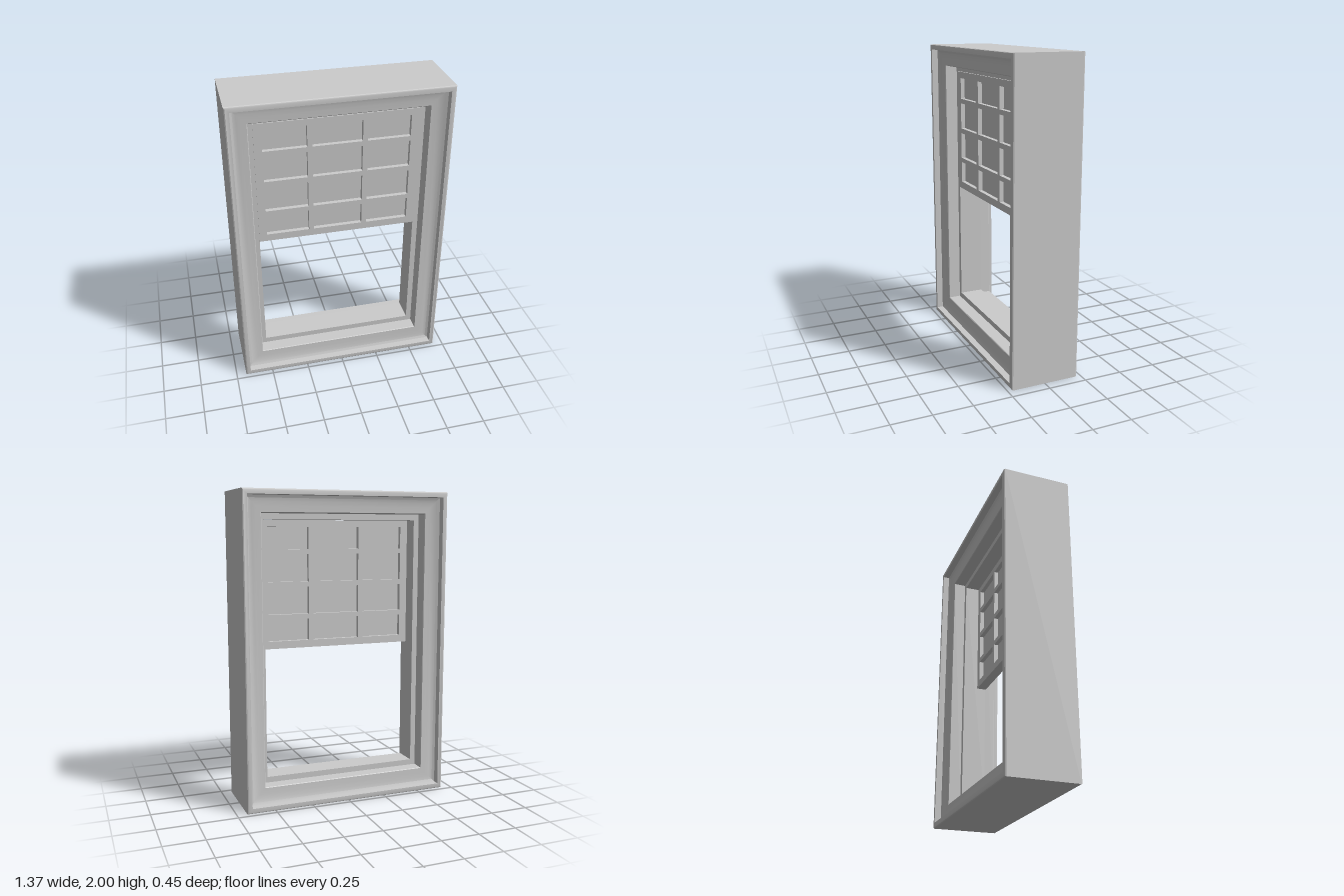
import * as THREE from 'three';
import { toCreasedNormals } from 'three/addons/utils/BufferGeometryUtils.js';

const HALF_W = 0.685, HEIGHT = 2;

// Sweeps a closed [inset, z] profile around the rectangular outline with mitred corners.
function sweepFrame(profile) {
  const corners = [[-1, -1], [1, -1], [1, 1], [-1, 1]];
  const point = ([inset, z], k) => {
    const [sx, sy] = corners[k % 4];
    return [sx * (HALF_W - inset), HEIGHT / 2 + sy * (HEIGHT / 2 - inset * 1.05), z];
  };
  const positions = [];
  profile.forEach((p, j) => {
    const q = profile[(j + 1) % profile.length];
    for (let k = 0; k < 4; k++) {
      const a = point(p, k), b = point(p, k + 1), c = point(q, k + 1), d = point(q, k);
      positions.push(...a, ...b, ...c, ...a, ...c, ...d);
    }
  });
  const geometry = new THREE.BufferGeometry();
  geometry.setAttribute('position', new THREE.Float32BufferAttribute(positions, 3));
  return toCreasedNormals(geometry, 0.45);
}

function rectangle(target, x0, x1, y0, y1) {
  target.moveTo(x0, y0);
  target.lineTo(x1, y0);
  target.lineTo(x1, y1);
  target.lineTo(x0, y1);
  target.closePath();
  return target;
}

export function createModel() {
  const group = new THREE.Group();
  const material = new THREE.MeshStandardMaterial({ color: 0xcccccc });
  const add = (name, geometry) => {
    const mesh = new THREE.Mesh(geometry, material);
    mesh.name = name;
    group.add(mesh);
    return mesh;
  };

  // Frame: rounded outer rim, coved casing, stepped jamb; same front and back
  const frontHalf = [
    [0, 0.216], [0.003, 0.222], [0.009, 0.225],
    [0.032, 0.225], [0.034, 0.183],
    [0.05, 0.176], [0.07, 0.17], [0.095, 0.166], [0.13, 0.164],
    [0.134, 0.16], [0.135, 0.08], [0.17, 0.08],
  ];
  const backHalf = frontHalf.map(([inset, z]) => [inset, -z]).reverse();
  add('windowFrame', sweepFrame([...frontHalf, ...backHalf]));

  // Raised sash: rails and glazing bars around twelve openings
  const columns = [[-0.465, -0.19], [-0.158, 0.158], [0.19, 0.465]];
  const rows = [[1.045, 1.187], [1.218, 1.394], [1.428, 1.603], [1.635, 1.777]];
  const sash = rectangle(new THREE.Shape(), -0.515, 0.515, 0.997, 1.82);
  for (const [x0, x1] of columns) {
    for (const [y0, y1] of rows) sash.holes.push(rectangle(new THREE.Path(), x0, x1, y0, y1));
  }
  const sashGeometry = new THREE.ExtrudeGeometry(sash, { depth: 0.065, bevelEnabled: false });
  add('sash', sashGeometry).position.z = 0.019;

  // Panes set midway in the sash thickness
  add('panes', new THREE.BoxGeometry(0.98, 0.78, 0.008)).position.set(0, 1.41, 0.0515);

  return group;
}
